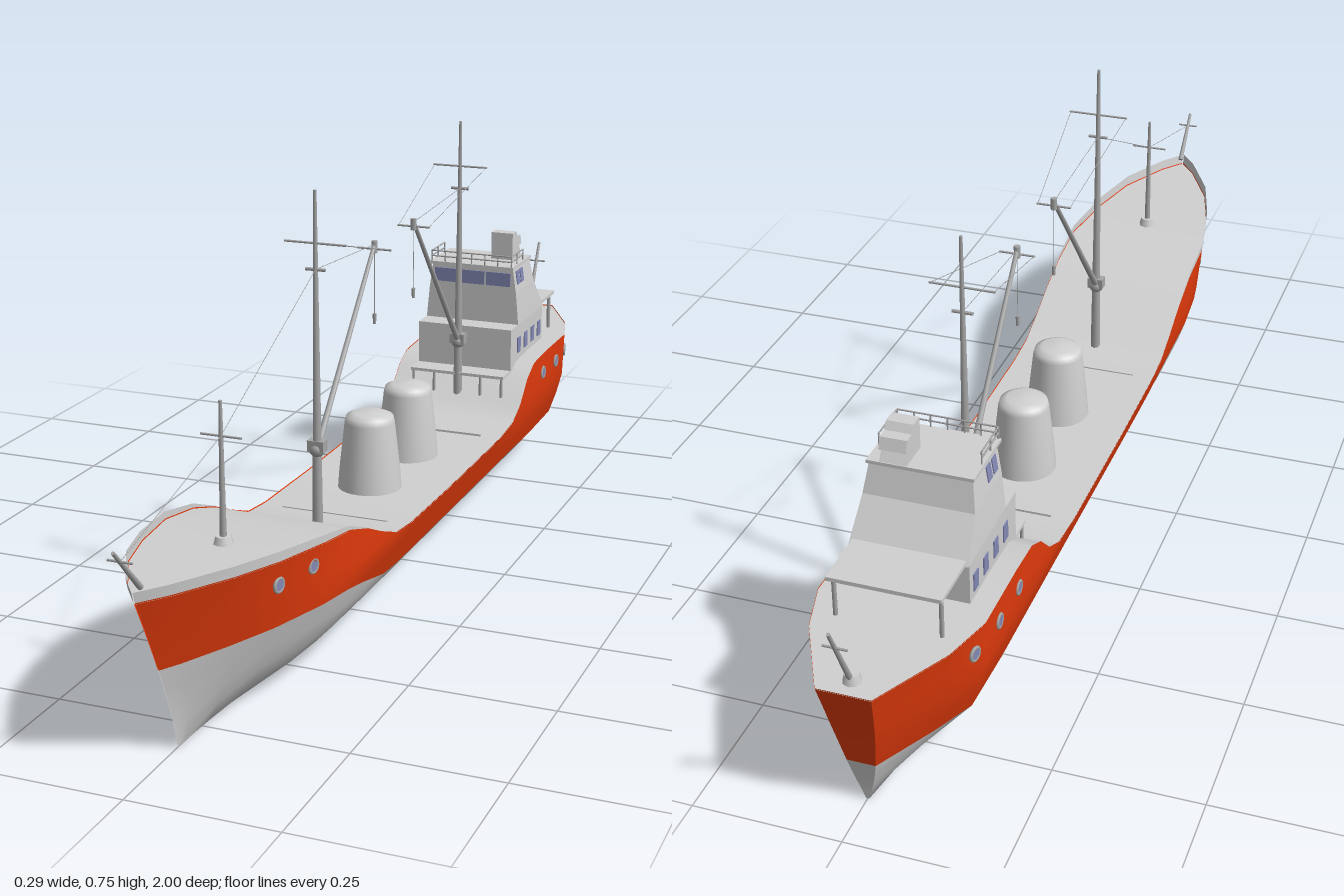
import * as THREE from 'three';

const mat = (name, color, side = THREE.FrontSide) => {
  const m = new THREE.MeshStandardMaterial({ color, side });
  m.name = name;
  return m;
};

export function createModel() {
  const ship = new THREE.Group();
  ship.name = 'cargoShip';
  const red = mat('hullRed', 0xe03a0c, THREE.DoubleSide);
  const grey = mat('lightGrey', 0xd0d0d0, THREE.DoubleSide);
  const steel = mat('mastGrey', 0xa6a6a6);
  const glass = mat('windowBlue', 0x8488b4);

  const add = (name, geo, material, parent = ship) => {
    const m = new THREE.Mesh(geo, material);
    m.name = name;
    parent.add(m);
    return m;
  };
  // Skin over rows of points
  const loft = (rows) => {
    const n = rows[0].length, idx = [];
    for (let i = 0; i < rows.length - 1; i++)
      for (let j = 0; j < n - 1; j++) {
        const a = i * n + j, b = a + n;
        idx.push(a, a + 1, b, a + 1, b + 1, b);
      }
    const g = new THREE.BufferGeometry();
    g.setAttribute('position', new THREE.Float32BufferAttribute(rows.flat(2), 3));
    g.setIndex(idx);
    g.computeVertexNormals();
    return g;
  };
  // Round rod from a to b, optionally tapered
  const rod = (name, a, b, r0, r1 = r0, material = steel, parent = ship) => {
    const A = new THREE.Vector3(...a), B = new THREE.Vector3(...b);
    const d = B.clone().sub(A);
    const m = add(name, new THREE.CylinderGeometry(r1, r0, d.length(), 8), material, parent);
    m.position.copy(A).add(B).multiplyScalar(0.5);
    m.quaternion.setFromUnitVectors(new THREE.Vector3(0, 1, 0), d.normalize());
    return m;
  };
  const box = (name, w, h, d, x, y, z, material = grey, parent = ship) => {
    const m = add(name, new THREE.BoxGeometry(w, h, d), material, parent);
    m.position.set(x, y, z);
    return m;
  };
  // Box with its own widths, fronts and backs at bottom and top
  const block = (name, y0, y1, [w0, w1], [f0, f1], [b0, b1], x = 0) => {
    const g = new THREE.BoxGeometry(2, 2, 2), p = g.attributes.position;
    for (let i = 0; i < p.count; i++) {
      const up = p.getY(i) > 0;
      p.setXYZ(i, x + p.getX(i) * (up ? w1 : w0), up ? y1 : y0,
        p.getZ(i) > 0 ? (up ? f1 : f0) : (up ? b1 : b0));
    }
    g.computeVertexNormals();
    return add(name, g, grey);
  };

  // Hull stations: deck z, keel z, half width, sheer, paint line, fullness, bulwark
  const stations = [
    [0.945, 0.827, 0.001, 0.283, 0.15, 0, 0.018],
    [0.9, 0.8, 0.035, 0.283, 0.15, 0.15, 0.018],
    [0.8, 0.73, 0.088, 0.28, 0.15, 0.35, 0.018],
    [0.7, 0.66, 0.118, 0.272, 0.15, 0.6, 0.017],
    [0.58, 0.56, 0.14, 0.262, 0.15, 0.85, 0.013],
    [0.48, 0.47, 0.14, 0.246, 0.14, 1, 0.008],
    [0.4, 0.4, 0.14, 0.22, 0.122, 1, 0.001],
    [0.34, 0.34, 0.14, 0.193, 0.105, 1],
    [0.27, 0.27, 0.14, 0.166, 0.086, 1],
    [0.2, 0.2, 0.14, 0.159, 0.08, 1],
    [0, 0, 0.14, 0.156, 0.08, 1],
    [-0.3, -0.3, 0.14, 0.157, 0.08, 1],
    [-0.38, -0.38, 0.14, 0.165, 0.08, 1],
    [-0.43, -0.43, 0.14, 0.188, 0.08, 1],
    [-0.475, -0.475, 0.14, 0.23, 0.08, 1],
    [-0.52, -0.52, 0.14, 0.251, 0.08, 1],
    [-0.6, -0.6, 0.14, 0.255, 0.08, 1],
    [-0.74, -0.73, 0.14, 0.255, 0.08, 0.95],
    [-0.83, -0.8, 0.115, 0.255, 0.08, 0.7],
    [-0.965, -0.9, 0.045, 0.255, 0.085, 0.4],
  ];
  const curve = [[0, 0.14], [0.04, 0.58], [0.08, 0.82], [0.155, 1], [1, 1]];
  const section = (y) => {
    const k = Math.max(1, curve.findIndex((c) => c[0] >= y));
    const [a, b] = [curve[k - 1], curve[k]];
    return THREE.MathUtils.lerp(a[1], b[1], (y - a[0]) / (b[0] - a[0]));
  };
  const hullPoint = ([zd, zk, w, sheer, , full], y, s) => {
    const t = Math.min(1, y / sheer);
    const f = THREE.MathUtils.lerp(t, section(y), full);
    return [s * w * f, y, THREE.MathUtils.lerp(zk, zd, Math.pow(t, 1.25))];
  };
  const topside = (st, s) => [1, 0.75, 0.5, 0.25, 0].map((t) => hullPoint(st, st[4] + (st[3] - st[4]) * t, s));
  const bottom = (st, s) => [1, 0.75, 0.5, 0.25, 0].map((t) => hullPoint(st, st[4] * t, s));
  const last = stations[stations.length - 1];
  add('hullTopsideLeft', loft(stations.map((s) => topside(s, 1))), red);
  add('hullTopsideRight', loft(stations.map((s) => topside(s, -1).reverse())), red);
  add('hullBottom', loft(stations.map((s) => [...bottom(s, 1), ...bottom(s, -1).reverse()])), grey);
  add('transomTop', loft([topside(last, 1), topside(last, -1)]), red);
  add('transomBottom', loft([bottom(last, 1), bottom(last, -1)]), grey);
  add('deck', loft(stations.map(([z, , w, y]) => [[-w, y - 0.002, z], [0, y - 0.002, z], [w, y - 0.002, z]])), grey);
  const bow = stations.slice(0, 7);
  for (const s of [1, -1]) {
    const wall = bow.map(([z, , w, y, , , h]) => [[s * w, y + h, z + h * 0.3], [s * w, y, z]]);
    add('bowBulwark', loft(s > 0 ? wall : wall.map((r) => r.reverse())), grey);
  }

  // Portholes, turned to lie along the side
  for (const [z, y, x, turn] of [[0.695, 0.23, 0.112, 0.2], [0.605, 0.23, 0.13, 0.2],
    [-0.585, 0.213, 0.14, 0], [-0.677, 0.213, 0.14, 0], [-0.767, 0.213, 0.132, -0.25]])
    for (const s of [1, -1]) {
      const port = new THREE.Group();
      port.name = 'porthole';
      port.position.set(s * x, y, z);
      port.rotation.y = s * (Math.PI / 2 - turn);
      add('portholeRim', new THREE.TorusGeometry(0.011, 0.003, 6, 16), steel, port);
      add('portholeGlass', new THREE.CircleGeometry(0.011, 16), glass, port).position.z = 0.002;
      ship.add(port);
    }

  // Two tapered tanks on the middle deck
  const tank = [[0.059, 0.15], [0.056, 0.19], [0.046, 0.28], [0.043, 0.291], [0.03, 0.297], [0, 0.299]]
    .map(([r, y]) => new THREE.Vector2(r, y));
  for (const z of [0.042, -0.154]) add('tank', new THREE.LatheGeometry(tank, 28), grey).position.z = z;
  for (const z of [0.21, -0.3]) box('deckSeam', 0.2, 0.004, 0.004, 0, 0.158, z);

  // Masts with crosstrees, cargo booms and hooks
  for (const [z, tip] of [[0.285, 0.018], [-0.445, -0.182]]) {
    rod('mast', [0, 0.15, z], [0, 0.755, z], 0.01, 0.003);
    rod('mastYard', [-0.056, 0.665, z], [0.056, 0.665, z], 0.002);
    rod('mastSpreader', [-0.018, 0.62, z], [0.018, 0.62, z], 0.003);
    add('boomPivot', new THREE.SphereGeometry(0.014, 12, 8), steel).position.set(0, 0.303, z);
    box('pivotBracket', 0.03, 0.02, 0.02, 0, 0.31, z, steel);
    rod('boom', [0, 0.303, z], [0, 0.605, tip], 0.006, 0.004);
    rod('boomCrossbar', [-0.032, 0.597, tip], [0.032, 0.597, tip], 0.002);
    rod('boomTip', [0, 0.59, tip], [0, 0.612, tip], 0.006);
    rod('boomStay', [0, 0.62, z], [0, 0.605, tip], 0.0006);
    rod('hookLine', [0, 0.597, tip], [0, 0.475, tip], 0.0006);
    rod('hook', [0, 0.477, tip], [0, 0.458, tip], 0.004, 0.003);
    for (const s of [1, -1]) rod('yardLine', [s * 0.054, 0.665, z], [s * 0.03, 0.597, tip], 0.0006);
  }
  // Light mast on the foredeck
  rod('foredeckMast', [0, 0.265, 0.655], [0, 0.5, 0.655], 0.006, 0.003);
  rod('foredeckYard', [-0.035, 0.443, 0.655], [0.035, 0.443, 0.655], 0.002);
  rod('foredeckMastFoot', [0, 0.262, 0.655], [0, 0.28, 0.655], 0.018, 0.013, grey);
  rod('forestay', [0, 0.443, 0.655], [0, 0.62, 0.285], 0.0006);
  rod('bowStay', [0, 0.36, 0.98], [0, 0.443, 0.655], 0.0006);
  // Staffs at bow and stern
  rod('bowStaff', [0, 0.3, 0.925], [0, 0.38, 1], 0.005, 0.003);
  rod('bowStaffBar', [-0.02, 0.36, 0.981], [0.02, 0.36, 0.981], 0.002);
  rod('sternStaff', [0, 0.25, -0.93], [0, 0.39, -1], 0.005, 0.003);
  rod('sternStaffBar', [-0.02, 0.352, -0.981], [0.02, 0.352, -0.981], 0.002);
  rod('sternStaffFoot', [0, 0.25, -0.93], [0, 0.268, -0.93], 0.016, 0.012, grey);

  // Deckhouse and bridge
  block('deckhouse', 0.235, 0.325, [0.1, 0.1], [-0.485, -0.485], [-0.7, -0.7]);
  block('bridgeLower', 0.325, 0.39, [0.1, 0.094], [-0.532, -0.532], [-0.705, -0.655]);
  block('bridgeUpper', 0.39, 0.445, [0.094, 0.086], [-0.532, -0.532], [-0.655, -0.64]);
  box('bridgeRoof', 0.18, 0.006, 0.125, 0, 0.444, -0.583);
  block('funnel', 0.445, 0.503, [0.023, 0.023], [-0.585, -0.585], [-0.645, -0.61], 0.045);
  block('funnelLip', 0.47, 0.49, [0.023, 0.023], [-0.6, -0.6], [-0.645, -0.638], 0.045);

  // Bridge and deckhouse windows
  for (const x of [-0.056, 0, 0.056]) box('bridgeWindow', 0.052, 0.028, 0.004, x, 0.418, -0.531, glass);
  for (const s of [1, -1]) {
    for (const z of [-0.555, -0.58])
      box('bridgeSideWindow', 0.004, 0.028, 0.018, s * 0.0895, 0.42, z, glass).rotation.z = s * 0.145;
    for (const z of [-0.537, -0.583, -0.63, -0.675])
      box('deckhouseWindow', 0.004, 0.032, 0.02, s * 0.1, 0.282, z, glass);
  }

  // Railing round the bridge roof
  for (const y of [0.458, 0.469]) {
    rod('frontRail', [-0.086, y, -0.523], [0.086, y, -0.523], 0.0015);
    for (const s of [1, -1]) rod('sideRail', [s * 0.086, y, -0.523], [s * 0.086, y, -0.6], 0.0015);
  }
  for (const x of [-0.086, -0.057, -0.029, 0, 0.029, 0.057, 0.086])
    rod('railPost', [x, 0.445, -0.523], [x, 0.469, -0.523], 0.0015);
  for (const s of [1, -1])
    for (const z of [-0.56, -0.6]) rod('railPost', [s * 0.086, 0.445, z], [s * 0.086, 0.469, z], 0.0015);

  // Platform in front of the deckhouse
  box('platform', 0.2, 0.006, 0.055, 0, 0.236, -0.465);
  for (const x of [-0.095, -0.05, 0.05, 0.095])
    rod('platformPost', [x, 0.155, -0.441], [x, 0.236, -0.441], 0.003);

  // Awning behind the deckhouse
  box('awning', 0.19, 0.007, 0.11, 0, 0.329, -0.75);
  for (const s of [1, -1]) rod('awningPost', [s * 0.088, 0.25, -0.79], [s * 0.088, 0.329, -0.79], 0.004);

  return ship;
}
